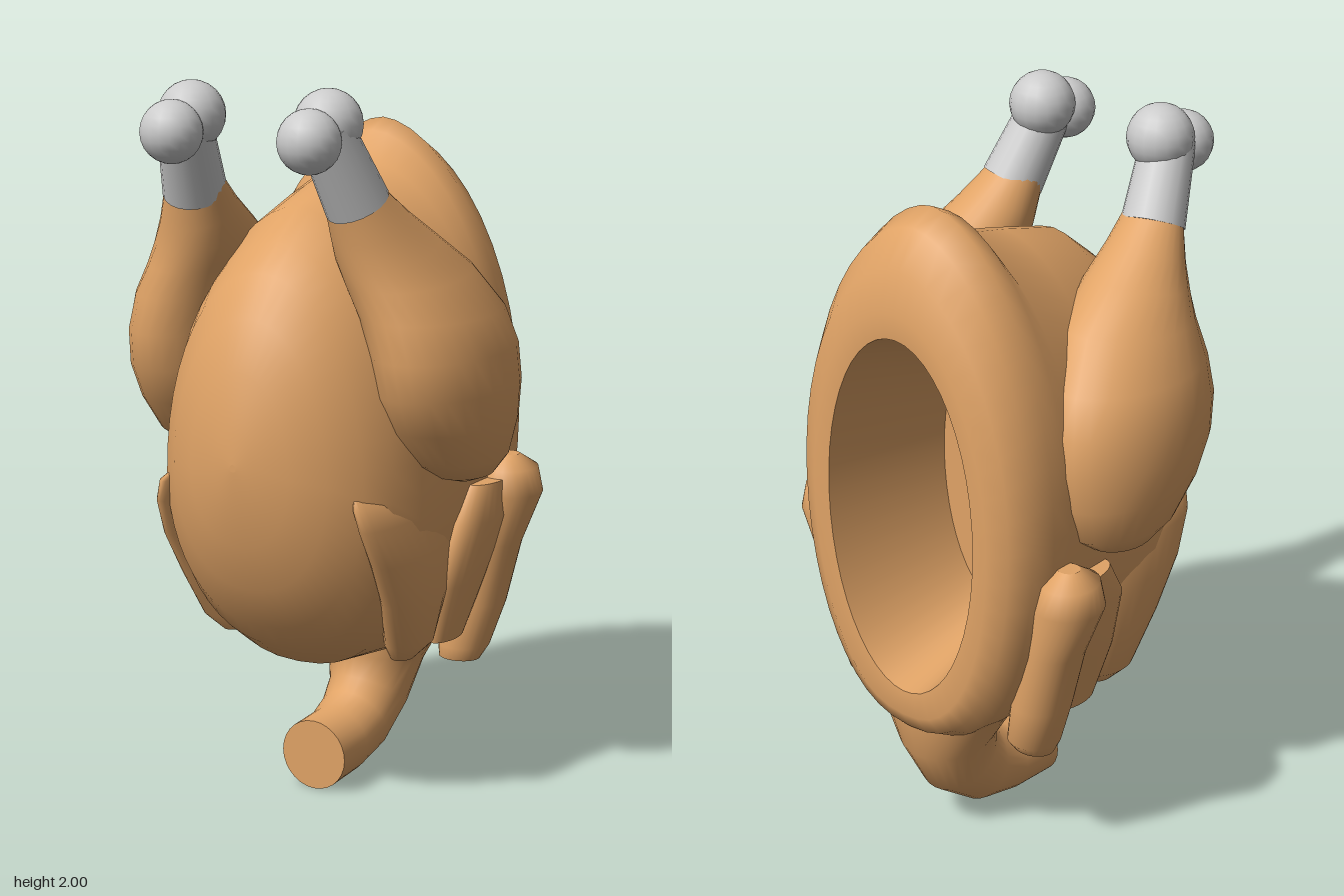
import * as THREE from 'three';

const skin = new THREE.MeshStandardMaterial({ color: 0xe0a366 });
const bone = new THREE.MeshStandardMaterial({ color: 0xcccccc });

// Closed skin over a list of rings with flat end caps; a repeated ring makes a sharp edge.
function loft(rings) {
  const n = rings[0].length, pos = [], idx = [];
  rings.forEach(r => r.forEach(p => pos.push(...p)));
  for (let i = 0; i < rings.length - 1; i++)
    for (let j = 0; j < n; j++) {
      const a = i * n + j, b = i * n + (j + 1) % n;
      idx.push(a, b, b + n, a, b + n, a + n);
    }
  const cap = (ring, flip) => {
    const base = pos.length / 3;
    ring.forEach(p => pos.push(...p));
    pos.push(...[0, 1, 2].map(k => ring.reduce((s, p) => s + p[k], 0) / n));
    for (let j = 0; j < n; j++) {
      const a = base + j, b = base + (j + 1) % n;
      idx.push(...(flip ? [b, a, base + n] : [a, b, base + n]));
    }
  };
  cap(rings[0], true);
  cap(rings[rings.length - 1], false);
  // Turn the faces outwards, whichever way the rings run
  const P = i => new THREE.Vector3().fromArray(pos, i * 3);
  let vol = 0;
  for (let i = 0; i < idx.length; i += 3) vol += P(idx[i]).dot(P(idx[i + 1]).cross(P(idx[i + 2])));
  if (vol < 0) idx.reverse();
  const g = new THREE.BufferGeometry();
  g.setAttribute('position', new THREE.Float32BufferAttribute(pos, 3));
  g.setIndex(idx);
  g.computeVertexNormals();
  return g;
}

// Ellipse ring lying in xz, tipped about x by angle
function ring([x, y, z, rx, rz, angle = 0], side = 1, n = 28) {
  return Array.from({ length: n }, (_, i) => {
    const t = i / n * Math.PI * 2, v = rz * Math.sin(t);
    return [side * (x + rx * Math.cos(t)), y + v * Math.sin(angle), z + v * Math.cos(angle)];
  });
}

// Egg-shaped ring in xy: half width w at height mid, with pointed or blunt top and bottom
function bodyRing([z, bottom, top, w, mid, pTop = 1, pBottom = 0.85], n = 48) {
  return Array.from({ length: n }, (_, i) => {
    const t = i / n * Math.PI * 2, c = Math.cos(t), s = Math.sin(t);
    const x = w * Math.sign(c) * Math.pow(Math.abs(c), s > 0 ? pTop : pBottom);
    return [x, mid + (s > 0 ? top - mid : mid - bottom) * s, z];
  });
}

function add(parent, name, geometry, material) {
  const m = new THREE.Mesh(geometry, material);
  m.name = name;
  parent.add(m);
  return m;
}

export function createModel() {
  const model = new THREE.Group();
  model.name = 'roastBird';

  // Body, from the cavity floor out over the flat rim and forward to the breast
  const hole = [-0.485, 0.5, 1.53, 0.26, 1.02, 1, 1];
  const floor = [-0.1, 0.6, 1.42, 0.2, 1.02, 1, 1];
  add(model, 'body', loft([
    floor, hole, hole,
    [-0.49, 0.43, 1.6, 0.31, 1.02],
    [-0.465, 0.38, 1.71, 0.365, 1.03, 1.05],
    [-0.41, 0.35, 1.81, 0.4, 1.04, 1.12],
    [-0.34, 0.34, 1.85, 0.41, 1.04, 1.15],
    [-0.28, 0.34, 1.82, 0.41, 1.04, 1.12],
    [-0.23, 0.345, 1.745, 0.41, 1.04, 1.05],
    [-0.07, 0.37, 1.71, 0.4, 1.0, 1.1],
    [0.12, 0.4, 1.66, 0.38, 0.92, 1.1],
    [0.22, 0.47, 1.58, 0.35, 0.92, 1.05],
    [0.3, 0.55, 1.51, 0.305, 0.94],
    [0.37, 0.67, 1.4, 0.235, 0.98],
    [0.42, 0.8, 1.27, 0.15, 1.0],
    [0.445, 0.93, 1.12, 0.06, 1.02],
    [0.45, 1.01, 1.03, 0.01, 1.02],
  ].map(r => bodyRing(r))), skin);

  // Neck, curling down from the back and forward to a flat cut
  add(model, 'neck', loft([
    [0, 0.5, -0.32, 0.27, 0.15, 0],
    [0, 0.4, -0.32, 0.2, 0.145, 0],
    [0, 0.3, -0.315, 0.14, 0.13, 0.2],
    [0, 0.2, -0.27, 0.115, 0.12, 0.6],
    [0, 0.135, -0.19, 0.105, 0.11, 1.1],
    [0, 0.105, -0.09, 0.1, 0.1, 1.45],
    [0, 0.1, 0.04, 0.1, 0.1, Math.PI / 2],
  ].map(r => ring(r))), skin);

  for (const side of [1, -1]) {
    const label = side > 0 ? 'left' : 'right';
    const limb = (parent, name, rows) => add(parent, name, loft(rows.map(r => ring(r, side))), skin);

    // Drumstick meat
    const leg = new THREE.Group();
    leg.name = label + 'Leg';
    model.add(leg);
    limb(leg, label + 'Drumstick', [
      [0.41, 0.93, -0.07, 0.02, 0.03],
      [0.405, 0.95, -0.07, 0.075, 0.1],
      [0.395, 1.0, -0.06, 0.12, 0.18],
      [0.385, 1.1, -0.035, 0.158, 0.24],
      [0.385, 1.2, -0.015, 0.167, 0.272],
      [0.378, 1.3, -0.003, 0.167, 0.278],
      [0.35, 1.4, 0.015, 0.17, 0.257],
      [0.307, 1.5, 0.065, 0.155, 0.21, -0.1],
      [0.28, 1.575, 0.135, 0.132, 0.152, -0.25],
      [0.262, 1.64, 0.19, 0.108, 0.108, -0.4],
      [0.245, 1.715, 0.24, 0.085, 0.075, -0.42],
    ]);

    // Bare bone with its two-lobed knuckle
    const a = new THREE.Vector3(side * 0.247, 1.7, 0.235), b = new THREE.Vector3(side * 0.21, 1.9, 0.34);
    const shaft = add(leg, label + 'BoneShaft',
      new THREE.CylinderGeometry(0.072, 0.086, a.distanceTo(b), 20), bone);
    shaft.position.copy(a).lerp(b, 0.5);
    shaft.quaternion.setFromUnitVectors(new THREE.Vector3(0, 1, 0), b.clone().sub(a).normalize());
    for (const [x, y, z, r] of [[0.205, 1.91, 0.31, 0.09], [0.205, 1.875, 0.405, 0.083]])
      add(leg, label + 'Knuckle', new THREE.SphereGeometry(r, 18, 12), bone).position.set(side * x, y, z);

    // Folded wing: upper arm along the back, forearm lying against the breast
    const wing = new THREE.Group();
    wing.name = label + 'Wing';
    model.add(wing);
    limb(wing, label + 'UpperWing', [
      [0.29, 0.35, -0.28, 0.06, 0.05],
      [0.3, 0.39, -0.29, 0.072, 0.075],
      [0.335, 0.52, -0.3, 0.08, 0.085],
      [0.38, 0.7, -0.3, 0.08, 0.085],
      [0.425, 0.85, -0.3, 0.095, 0.1],
      [0.43, 0.92, -0.3, 0.075, 0.085],
      [0.425, 0.955, -0.3, 0.03, 0.03],
    ]);
    limb(wing, label + 'Forewing', [
      [0.27, 0.43, 0.02, 0.03, 0.04],
      [0.29, 0.48, 0.02, 0.06, 0.09],
      [0.315, 0.62, 0.04, 0.065, 0.15],
      [0.325, 0.75, 0.07, 0.06, 0.2],
      [0.315, 0.86, 0.09, 0.055, 0.235],
      [0.3, 0.92, 0.11, 0.045, 0.225],
      [0.28, 0.95, 0.13, 0.02, 0.18],
    ]);
    // Skin fold bridging the two wing halves
    limb(wing, label + 'WingFold', [
      [0.31, 0.45, -0.15, 0.04, 0.08],
      [0.345, 0.62, -0.16, 0.06, 0.12],
      [0.39, 0.8, -0.19, 0.065, 0.13],
      [0.4, 0.9, -0.22, 0.05, 0.1],
    ]);
  }
  return model;
}
